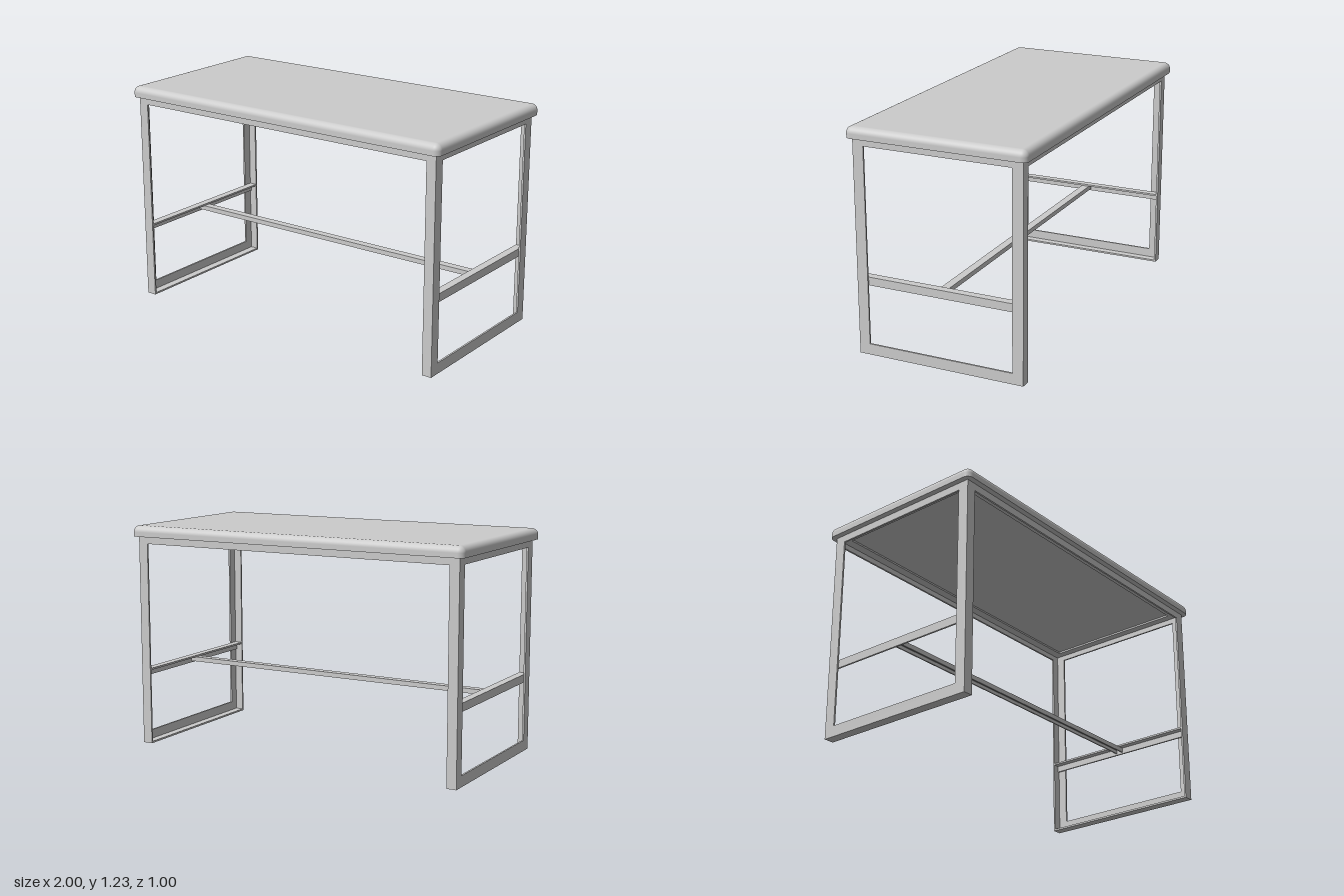
import * as THREE from 'three';
import { RoundedBoxGeometry } from 'three/addons/geometries/RoundedBoxGeometry.js';

const material = new THREE.MeshStandardMaterial({ color: 0xcccccc });
const vec = (x, y, z) => new THREE.Vector3(x, y, z);

// Extrudes a section lying in the u/v plane at `origin`, centred along u x v
function bar(name, points, origin, u, v, length) {
  const shape = new THREE.Shape(points.map(([a, b]) => new THREE.Vector2(a, b)));
  const geo = new THREE.ExtrudeGeometry(shape, { depth: length, bevelEnabled: false });
  geo.translate(0, 0, -length / 2);
  const w = vec(0, 0, 0).crossVectors(u, v);
  geo.applyMatrix4(new THREE.Matrix4().makeBasis(u, v, w).setPosition(origin));
  const mesh = new THREE.Mesh(geo, material);
  mesh.name = name;
  return mesh;
}

// L-shaped section with its outer corner at the origin
const angle = (a, b, t) => [[0, 0], [a, 0], [a, t], [t, t], [t, b], [0, b]];

// Slab with rounded upper edges, upright sides and a flat underside
function tableTop() {
  const r = 0.035, bottom = 1.17, top = 1.23;
  const h = top - bottom + r;
  const geo = new RoundedBoxGeometry(2, h, 1, 5, r);
  geo.translate(0, top - h / 2, 0);
  const p = geo.attributes.position, n = geo.attributes.normal;
  for (let i = 0; i < p.count; i += 3) {
    let flat = true;
    for (let k = i; k < i + 3; k++) {
      if (p.getY(k) < bottom + 1e-4) p.setY(k, bottom);
      else flat = false;
    }
    if (flat) for (let k = i; k < i + 3; k++) n.setXYZ(k, 0, -1, 0);
  }
  const mesh = new THREE.Mesh(geo, material);
  mesh.name = 'tableTop';
  return mesh;
}

export function createModel() {
  const model = new THREE.Group();
  model.name = 'table';
  model.add(tableTop());

  const up = vec(0, 1, 0), down = vec(0, -1, 0);
  const t = 0.01;

  // End frames of angle section
  for (const s of [1, -1]) {
    const frame = new THREE.Group();
    frame.name = s > 0 ? 'leftEndFrame' : 'rightEndFrame';
    const inward = vec(-s, 0, 0);
    for (const e of [1, -1]) {
      frame.add(bar(e > 0 ? 'frontLeg' : 'backLeg', angle(0.055, 0.06, t),
        vec(s * 0.97, 0.585, e * 0.47), inward, vec(0, 0, -e), 1.17));
    }
    frame.add(bar('footRail', angle(0.055, 0.06, t), vec(s * 0.97, 0, 0), inward, up, 0.94));
    frame.add(bar('endApron', angle(0.055, 0.04, t), vec(s * 0.97, 1.17, 0), inward, down, 0.94));
    frame.add(bar('middleRail', angle(0.045, 0.045, t), vec(s * 0.96, 0.43, 0), inward, down, 0.92));
    model.add(frame);
  }

  // Long aprons under the top
  for (const e of [1, -1]) {
    model.add(bar(e > 0 ? 'frontApron' : 'backApron', angle(0.06, 0.04, t),
      vec(0, 1.17, e * 0.47), vec(0, 0, -e), down, 1.94));
  }

  // Channel stretcher, open below, tucked under the middle rails
  const w = 0.0225, d = 0.026, c = 0.007;
  model.add(bar('stretcher',
    [[-w, 0], [w, 0], [w, d], [w - c, d], [w - c, c], [c - w, c], [c - w, d], [-w, d]],
    vec(0, 0.42, 0), vec(0, 0, 1), down, 1.9));

  return model;
}
